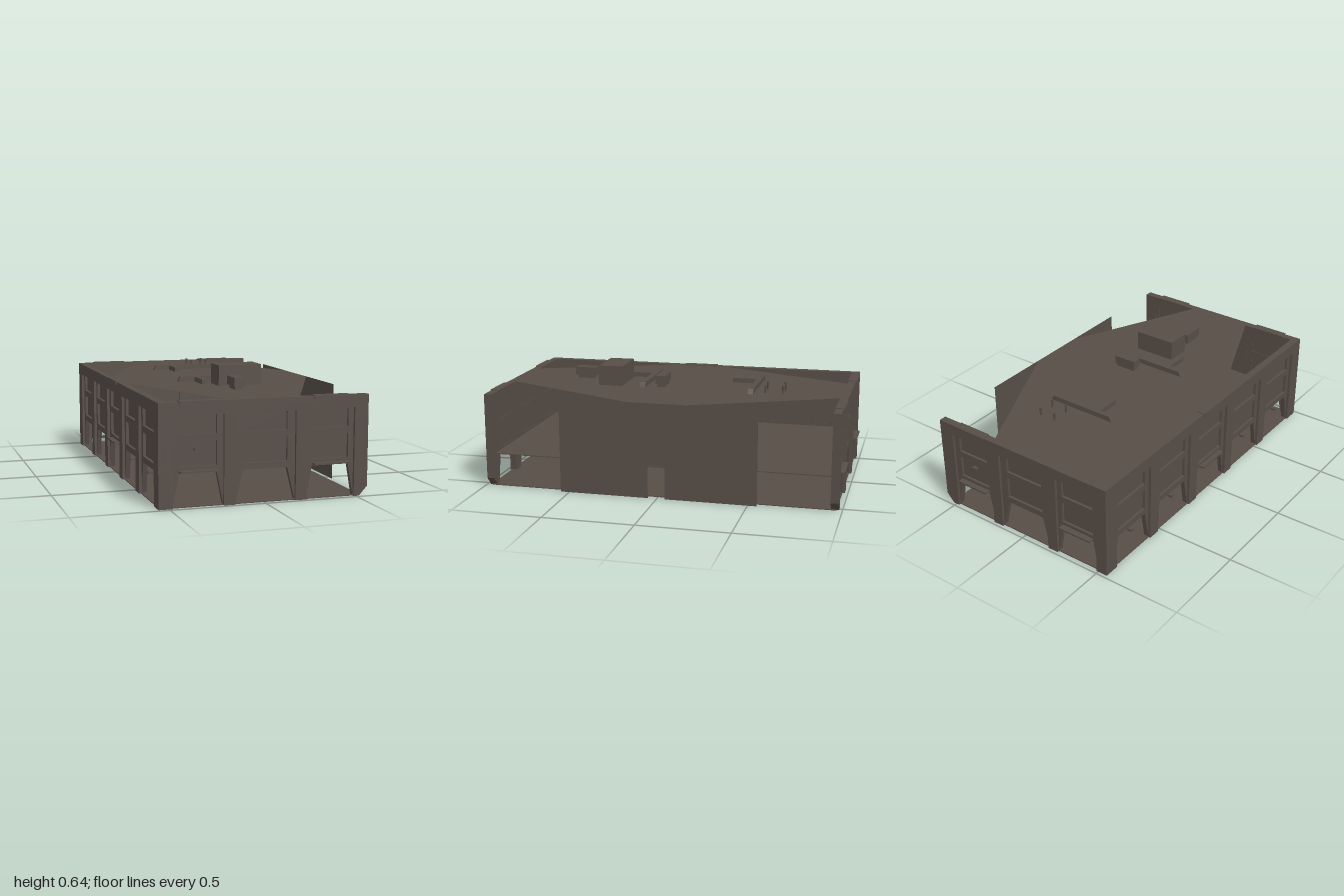
import * as THREE from 'three';

const stone = new THREE.MeshStandardMaterial({ color: 0x574d47 });
stone.name = 'dark brown stone';
const thinStone = new THREE.MeshStandardMaterial({ color: 0x574d47, side: THREE.DoubleSide });
thinStone.name = 'dark brown sheet';

const TOP = 0.53, SILL = 0.172;

function add(parent, name, geometry, material = stone) {
  const mesh = new THREE.Mesh(geometry, material);
  mesh.name = name;
  parent.add(mesh);
  return mesh;
}

// Box given by its limits on each axis
function block(parent, name, x0, x1, y0, y1, z0, z1) {
  const mesh = add(parent, name, new THREE.BoxGeometry(x1 - x0, y1 - y0, z1 - z0));
  mesh.position.set((x0 + x1) / 2, (y0 + y1) / 2, (z0 + z1) / 2);
  return mesh;
}

function polygon(points) {
  return new THREE.Shape(points.map(([x, y]) => new THREE.Vector2(x, y)));
}

function extrude(parent, name, shape, z0, z1) {
  const g = new THREE.ExtrudeGeometry(shape, { depth: z1 - z0, bevelEnabled: false });
  g.translate(0, 0, z0);
  return add(parent, name, g);
}

// Wall facing +z: pilaster frame in front of a recessed wall with sunken windows
function facade(name, u0, u1, bays, out, tab = 0) {
  const group = new THREE.Group();
  group.name = name;
  const frame = [], wall = [];
  const left = u0 - (tab < 0 ? 0.035 : 0), right = u1 + (tab > 0 ? 0.035 : 0);

  // bottom outline runs up and over each bay
  frame.push(...(tab < 0 ? [[left, 0.05], [left + 0.045, 0]] : [[left, 0]]));
  wall.push([u0 + 0.012, 0]);
  for (const { c, hw, ww } of bays) {
    frame.push([c - hw, 0], [c - hw, 0.465], [c + hw, 0.465], [c + hw, 0]);
    wall.push([c - hw, 0], [c - ww, SILL], [c + ww, SILL], [c + hw, 0]);
  }
  frame.push(...(tab > 0 ? [[right - 0.045, 0], [right, 0.05]] : [[right, 0]]));
  frame.push([right, TOP], [left, TOP]);
  wall.push([u1 - 0.012, 0], [u1 - 0.012, TOP], [u0 + 0.012, TOP]);

  const wallShape = polygon(wall);
  for (const { c, ww } of bays) {
    for (const [y0, y1] of [[0.205, 0.33], [0.365, 0.46]]) {
      wallShape.holes.push(new THREE.Path([
        [c - ww, y0], [c - ww, y1], [c + ww, y1], [c + ww, y0],
      ].map(([x, y]) => new THREE.Vector2(x, y))));
      block(group, 'windowPane', c - ww, c + ww, y0, y1, out - 0.036, out - 0.03);
    }
  }
  extrude(group, 'pilasterFrame', polygon(frame), out - 0.042, out);
  extrude(group, 'recessedWall', wallShape, out - 0.04, out - 0.015);
  return group;
}

// Roof duct: bar with sloped ends and one branch toward +z
function duct(parent, x0, x1, z0, z1, bx0, bx1, bz) {
  extrude(parent, 'roofDuct', polygon([
    [x0, TOP], [x1, TOP], [x1 - 0.015, 0.558], [x0 + 0.015, 0.558],
  ]), z0, z1);
  block(parent, 'ductBranch', bx0, bx1, TOP, 0.556, z1, bz);
}

export function createModel() {
  const model = new THREE.Group();
  model.name = 'building';

  // Floors
  block(model, 'groundFloor', -0.545, 0.53, 0, 0.005, -0.97, 0.97);
  block(model, 'middleFloor', -0.52, 0.53, 0.182, 0.187, -0.945, 0.945);

  // Front and back walls
  const endBays = [
    { c: -0.348, hw: 0.132, ww: 0.098 },
    { c: 0.007, hw: 0.16, ww: 0.118 },
    { c: 0.36, hw: 0.13, ww: 0.1 },
  ];
  for (const s of [1, -1]) {
    const wall = s > 0
      ? facade('frontWall', -0.555, 0.53, endBays, 0.982, 1)
      : facade('backWall', -0.53, 0.555, endBays, 0.982, -1);
    if (s < 0) wall.rotation.y = Math.PI;
    for (const c of [endBays[0].c, endBays[2].c]) {
      block(wall, 'ledge', c - 0.1, c + 0.1, 0.178, 0.187, 0.94, 1);
      block(wall, 'parapetCap', c - 0.1, c + 0.1, 0.515, TOP + 0.004, 0.938, 0.988);
    }
    block(wall, 'wallLamp', -0.365, -0.335, 0.283, 0.296, 0.945, 0.972);
    model.add(wall);
  }

  // Long wall on the -x side
  const sideBays = [-0.745, -0.372, 0, 0.372, 0.745].map((c) => ({ c, hw: 0.15, ww: 0.118 }));
  const side = facade('sideWall', -0.982, 0.982, sideBays, 0.555);
  side.rotation.y = -Math.PI / 2;
  block(side, 'ledge', -0.1, 0.1, 0.178, 0.187, 0.51, 0.57);
  block(side, 'parapetCap', -0.1, 0.1, 0.515, TOP + 0.004, 0.51, 0.56);
  for (const { c } of sideBays) {
    if (c !== 0) block(side, 'wallLamp', c - 0.013, c + 0.013, 0.137, 0.149, 0.52, 0.548);
  }
  model.add(side);

  // Flat panel with a doorway on the open +x side
  const panel = add(model, 'sidePanel', new THREE.ShapeGeometry(polygon([
    [-0.55, 0], [-0.05, 0], [-0.05, 0.18], [0.045, 0.18], [0.045, 0],
    [0.55, 0], [0.55, TOP], [-0.55, TOP],
  ])), thinStone);
  panel.rotation.y = Math.PI / 2;
  panel.position.x = 0.56;
  block(model, 'doorLedge', 0.555, 0.566, 0.178, 0.186, -0.045, 0.05);

  // Eight-sided roof sheet, open at the four corners
  const roof = add(model, 'roof', new THREE.ShapeGeometry(polygon([
    [-0.51, -0.165], [-0.19, -0.945], [0.2, -0.945], [0.56, -0.165],
    [0.56, 0.165], [0.2, 0.945], [-0.19, 0.945], [-0.51, 0.165],
  ])), thinStone);
  roof.rotation.x = -Math.PI / 2;
  roof.position.y = TOP;

  // Roof equipment
  block(model, 'roofHouse', -0.068, 0.175, TOP, 0.642, 0.303, 0.443);
  block(model, 'ventBox', 0.025, 0.16, 0.548, 0.595, 0.055, 0.11);
  block(model, 'ventFoot', 0.035, 0.15, TOP, 0.548, 0.062, 0.103);
  block(model, 'ventBox', -0.043, 0.015, 0.548, 0.595, 0.51, 0.635);
  block(model, 'ventFoot', -0.035, 0.007, TOP, 0.548, 0.525, 0.62);
  duct(model, -0.225, 0.187, 0.165, 0.197, -0.13, -0.1, 0.338);
  duct(model, -0.197, 0.217, -0.46, -0.43, -0.103, -0.07, -0.293);
  for (const x of [0.065, 0.16]) {
    for (const z of [-0.52, -0.62]) {
      const pipe = add(model, 'roofPipe', new THREE.CylinderGeometry(0.007, 0.005, 0.045, 6));
      pipe.position.set(x, TOP + 0.0225, z);
    }
  }
  return model;
}
